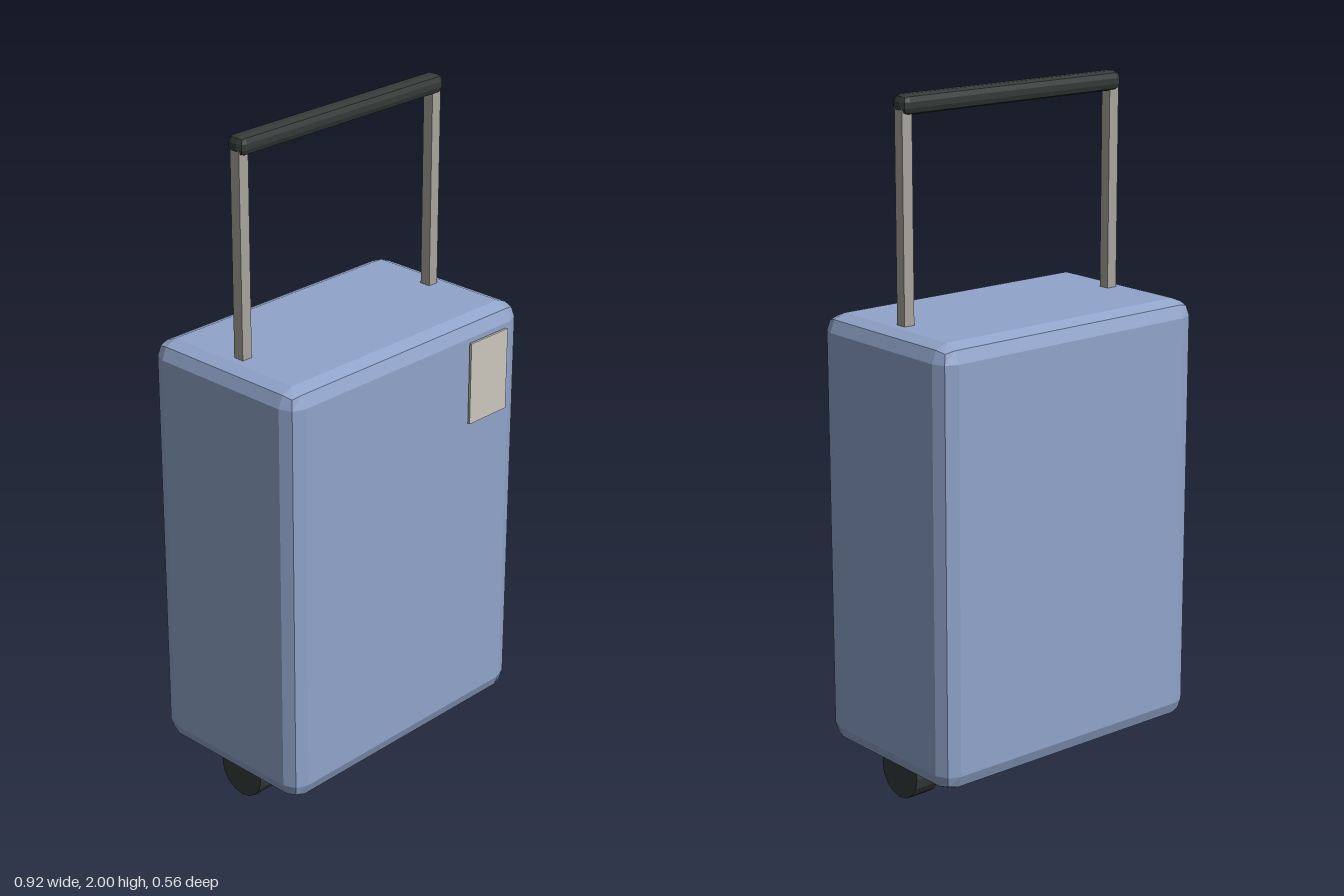
import * as THREE from 'three';
import { RoundedBoxGeometry } from 'three/addons/geometries/RoundedBoxGeometry.js';

const CENTRE_Z = -0.008;

function makeMaterial(name, color) {
  const material = new THREE.MeshStandardMaterial({ color, flatShading: true });
  material.name = name;
  return material;
}

export function createModel() {
  const suitcase = new THREE.Group();
  suitcase.name = 'suitcase';

  const blue = makeMaterial('shell blue', 0x90a4ca);
  const dark = makeMaterial('dark rubber', 0x343a39);
  const metal = makeMaterial('pole metal', 0xa8a59c);
  const cream = makeMaterial('tag cream', 0xccc7be);

  function add(name, geometry, material, x, y, z) {
    const mesh = new THREE.Mesh(geometry, material);
    mesh.name = name;
    mesh.position.set(x, y, z);
    suitcase.add(mesh);
    return mesh;
  }

  // Shell with two-facet bevels
  add('shell', new RoundedBoxGeometry(0.916, 1.268, 0.55, 1, 0.05), blue, 0, 0.742, CENTRE_Z);

  // Pull handle grip
  add('grip', new RoundedBoxGeometry(0.776, 0.056, 0.06, 1, 0.02), dark, 0, 1.972, CENTRE_Z);

  // Mirrored poles and wheels
  const poleGeometry = new THREE.BoxGeometry(0.033, 0.61, 0.033);
  const wheelGeometry = new THREE.CylinderGeometry(0.08, 0.08, 0.078, 16).rotateZ(Math.PI / 2);
  for (const [side, sign] of [['left', 1], ['right', -1]]) {
    add(side + 'Pole', poleGeometry, metal, sign * 0.369, 1.66, CENTRE_Z);
    add(side + 'Wheel', wheelGeometry, dark, sign * 0.37, 0.08, CENTRE_Z + 0.002);
  }

  // Tag plate just ahead of the shell
  add('tag', new THREE.BoxGeometry(0.154, 0.246, 0.007), cream, 0.305, 1.193, 0.278);

  return suitcase;
}
